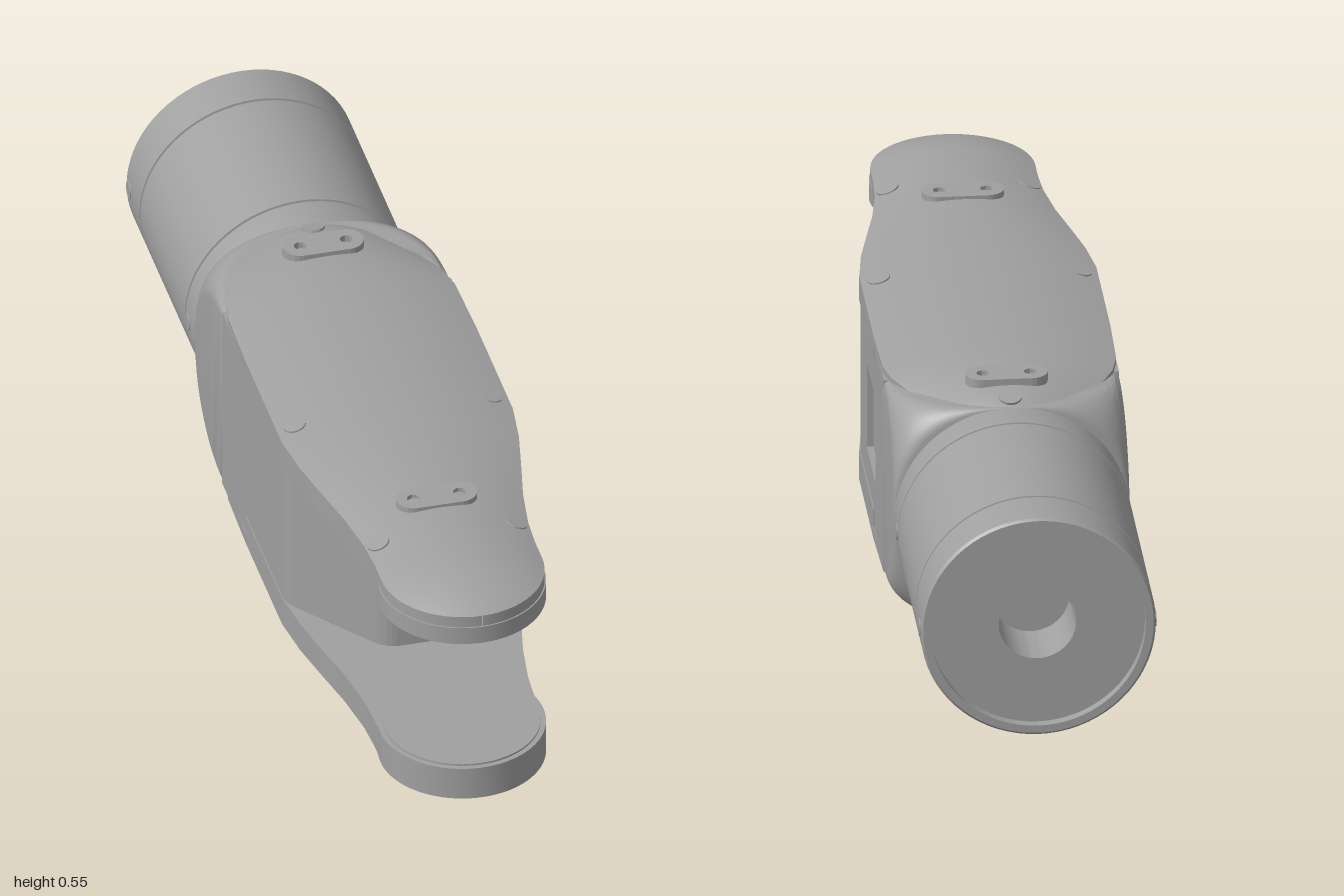
import * as THREE from 'three';
import { toCreasedNormals } from 'three/addons/utils/BufferGeometryUtils.js';

const grey = new THREE.MeshStandardMaterial({ color: 0xa0a0a0 });
grey.name = 'satin grey';

const MID = 0.2725;      // height of the centre line
const TIP = 0.17;        // radius of the fork ends
const TIP_Z = 0.83;      // centre of the fork ends
const SIDE = 0.243;      // half width of body, radius of barrel

function add(parent, name, geo, crease = 0.5) {
  const mesh = new THREE.Mesh(toCreasedNormals(geo, crease), grey);
  mesh.name = name;
  parent.add(mesh);
  return mesh;
}

// Plan shape (x, z) extruded between two heights
function slab(shape, y0, y1) {
  const geo = new THREE.ExtrudeGeometry(shape, { depth: y1 - y0, bevelEnabled: false, curveSegments: 40 });
  return geo.rotateX(Math.PI / 2).translate(0, y1, 0);
}

function disc(radius, hole) {
  const s = new THREE.Shape().absarc(0, TIP_Z, radius, 0, Math.PI * 2);
  if (hole) s.holes.push(new THREE.Path().absarc(0, TIP_Z, hole, 0, Math.PI * 2, true));
  return s;
}

// Half width of the covers along z
const OUTLINE = [[-0.425, 0.115], [-0.41, 0.135], [-0.38, 0.15], [-0.22, 0.228], [-0.16, 0.241], [0, 0.245],
  [0.3, 0.245], [0.4, 0.232], [0.5, 0.211], [0.6, 0.189], [0.7, 0.174], [0.77, 0.17], [TIP_Z, TIP]];
for (let i = 1; i <= 14; i++) {
  const a = (i / 14) * Math.PI / 2;
  OUTLINE.push([TIP_Z + TIP * Math.sin(a), Math.max(TIP * Math.cos(a), 0.001)]);
}

// Crowned top height of a cover
function crown(x, z, w) {
  const d = z > TIP_Z ? Math.hypot(x, z - TIP_Z) / TIP : Math.abs(x) / w;
  const rear = z < -0.32 ? 0.025 * ((-0.32 - z) / 0.1) ** 2 : 0;
  return 0.266 - 0.038 * Math.min(d, 1) ** 2 - rear;
}

function coverGeometry() {
  const N = 20, pos = [], idx = [], row = 2 * (N + 1);
  for (const [z, w] of OUTLINE) {
    for (let i = 0; i <= N; i++) {
      const x = w * (2 * i / N - 1);
      pos.push(x, crown(x, z, w), z, x, 0.2025, z);
    }
  }
  const quad = (a, b, c, d) => idx.push(a, b, c, a, c, d);
  for (let j = 0; j < OUTLINE.length - 1; j++) {
    const a = j * row, b = a + row;
    for (let i = 0; i < N; i++) {
      const k = 2 * i;
      quad(a + k, b + k, b + k + 2, a + k + 2);
      quad(a + k + 1, a + k + 3, b + k + 3, b + k + 1);
    }
    const e = 2 * N;
    quad(a, a + 1, b + 1, b);
    quad(a + e, b + e, b + e + 1, a + e + 1);
  }
  for (let i = 0; i < N; i++) quad(2 * i, 2 * i + 2, 2 * i + 3, 2 * i + 1);
  const geo = new THREE.BufferGeometry();
  geo.setAttribute('position', new THREE.Float32BufferAttribute(pos, 3));
  geo.setIndex(idx);
  return geo;
}

// Small screwed plate with two holes
function pillShape(z) {
  const s = new THREE.Shape();
  s.absarc(0.049, z, 0.036, -Math.PI / 2, Math.PI / 2);
  s.absarc(-0.049, z, 0.036, Math.PI / 2, Math.PI * 1.5);
  for (const x of [-0.049, 0.049]) s.holes.push(new THREE.Path().absarc(x, z, 0.013, 0, Math.PI * 2, true));
  return s;
}

// One fork side: crowned cover, arm, round boss and fasteners
function forkSide(name, hole, armY, bossY) {
  const g = new THREE.Group();
  g.name = name;
  add(g, 'cover', coverGeometry());

  const part = OUTLINE.filter(([z]) => z >= 0);
  const pts = [...part.map(([z, w]) => new THREE.Vector2(w, z)),
    ...part.slice(0, -1).reverse().map(([z, w]) => new THREE.Vector2(-w, z))];
  const arm = new THREE.Shape(pts);
  if (hole) arm.holes.push(new THREE.Path().absarc(0, TIP_Z, hole, 0, Math.PI * 2, true));
  add(g, 'arm', slab(arm, armY, 0.2026));
  add(g, 'boss', slab(disc(0.173, hole), bossY, 0.226 - (hole ? 0.0235 : 0)));
  if (!hole) add(g, 'bearingCap', slab(disc(0.162), bossY - 0.004, bossY + 0.01));

  for (const z of [-0.31, 0.62]) add(g, 'screwPlate', slab(pillShape(z), 0.25, 0.2725));
  for (const [x, z, w] of [[0.207, 0.26, 0.245], [-0.207, 0.26, 0.245], [0.145, 0.71, 0.173], [-0.145, 0.71, 0.173], [0, -0.39, 0.147]]) {
    const screw = add(g, 'coverScrew', new THREE.CylinderGeometry(0.024, 0.024, 0.016, 20));
    screw.position.set(x, crown(x, z, w) - 0.005, z);
    screw.rotation.z = -Math.atan(0.076 * x / (w * w));
    if (x === 0) screw.rotation.x = -0.3;
  }
  return g;
}

// Plan of the centre block, with an optional recess on its left side
function blockShape(recess) {
  const s = new THREE.Shape();
  s.moveTo(-SIDE, -0.2);
  s.lineTo(SIDE, -0.2);
  if (recess) {
    s.lineTo(SIDE, -0.03); s.lineTo(SIDE - 0.014, -0.03);
    s.lineTo(SIDE - 0.014, 0.16); s.lineTo(SIDE, 0.16);
  }
  s.lineTo(SIDE, 0.29);
  s.quadraticCurveTo(SIDE, 0.32, 0.225, 0.34);
  s.lineTo(0.11, 0.49);
  s.quadraticCurveTo(0.085, 0.525, 0.05, 0.525);
  s.lineTo(-0.05, 0.525);
  s.quadraticCurveTo(-0.085, 0.525, -0.11, 0.49);
  s.lineTo(-0.225, 0.34);
  s.quadraticCurveTo(-SIDE, 0.32, -SIDE, 0.29);
  return s;
}

// Rounded box section easing into the round barrel
function neckGeometry() {
  const rows = 16, arc = 12, n = 4 * (arc + 1), pos = [], idx = [];
  for (let j = 0; j <= rows; j++) {
    const t = Math.sin((j / rows) * Math.PI / 2);
    const f = Math.sqrt(Math.max(1 - t * t, 0));
    const h = 0.215 + (SIDE - 0.215) * t;
    const flatY = 0.2 * f, flatX = 0.228 * f;
    for (let q = 0; q < 4; q++) {
      const sx = q === 0 || q === 3 ? 1 : -1, sy = q < 2 ? 1 : -1;
      for (let i = 0; i <= arc; i++) {
        const a = (q + i / arc) * Math.PI / 2;
        pos.push(sx * flatX + (SIDE - flatX) * Math.cos(a), sy * flatY + (h - flatY) * Math.sin(a), -0.2 - 0.225 * t);
      }
    }
  }
  for (let j = 0; j < rows; j++) {
    for (let i = 0; i < n; i++) {
      const a = j * n + i, b = j * n + (i + 1) % n;
      idx.push(a, b + n, b, a, a + n, b + n);
    }
  }
  const geo = new THREE.BufferGeometry();
  geo.setAttribute('position', new THREE.Float32BufferAttribute(pos, 3));
  geo.setIndex(idx);
  return geo;
}

export function createModel() {
  const model = new THREE.Group();
  model.name = 'forkedArmLink';
  const link = new THREE.Group();
  link.name = 'link';
  link.position.set(0.013, MID, 0);
  link.rotation.y = 0.043;
  model.add(link);

  // Centre block in three layers so the side recess is real
  add(link, 'blockLower', slab(blockShape(false), -0.215, -0.0925));
  add(link, 'blockMiddle', slab(blockShape(true), -0.0925, 0.0975));
  add(link, 'blockUpper', slab(blockShape(false), 0.0975, 0.215));
  add(link, 'neck', neckGeometry(), 0.6);

  // Barrel with seams, end recess and bore
  const R = SIDE, G = SIDE - 0.005;
  const profile = [[0, 0.4], [G, 0.4], [R, 0.425], [R, 0.5], [G, 0.501], [G, 0.506], [R, 0.507], [R, 0.872], [G, 0.873],
    [G, 0.878], [R, 0.879], [R, 0.985], [R - 0.005, 0.99], [0.222, 0.99], [0.222, 0.968], [0.08, 0.968], [0.08, 0.83], [0, 0.83]];
  const barrel = new THREE.LatheGeometry(profile.map(([r, y]) => new THREE.Vector2(r, y)), 72);
  add(link, 'barrel', barrel.rotateX(-Math.PI / 2));
  for (const s of [-1, 1]) {
    for (const z of [-0.48, -0.965]) {
      const pin = add(link, 'barrelPin', new THREE.CylinderGeometry(0.018, 0.018, 0.01, 16).rotateZ(Math.PI / 2));
      pin.position.set(s * (SIDE - 0.003), 0, z);
    }
  }

  // Fork sides: the upper one has an open socket, the lower one a bearing cap
  link.add(forkSide('upperFork', 0.112, 0.1745, 0.1625));
  const lower = forkSide('lowerFork', 0, 0.1625, 0.1515);
  lower.rotation.z = Math.PI;
  link.add(lower);
  return model;
}
